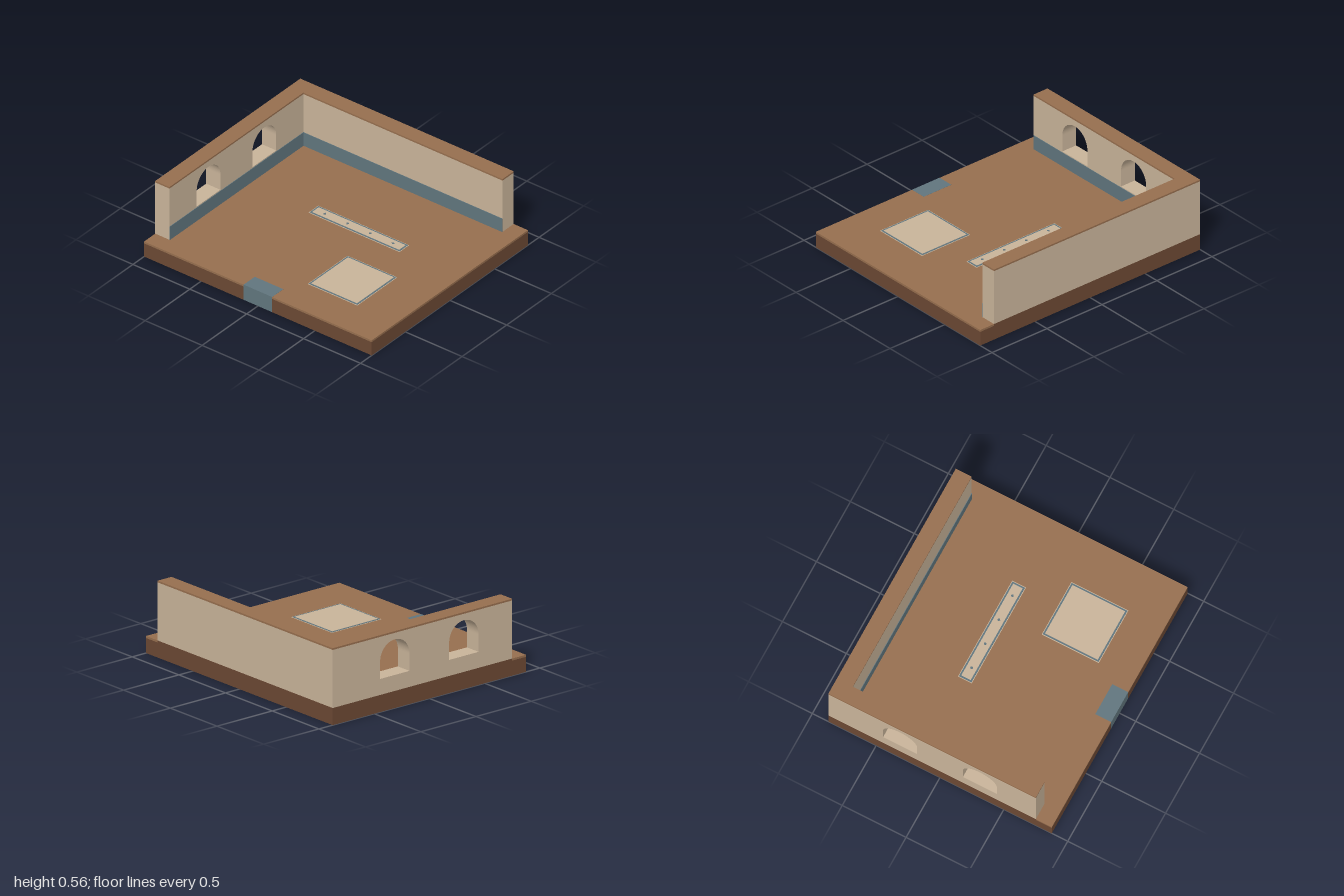
import * as THREE from 'three';

const mat = (name, color) => Object.assign(new THREE.MeshStandardMaterial({ color }), { name });

export function createModel() {
  const plaster = mat('tan plaster', 0xc8b399);
  const wood = mat('brown wood', 0x966e4e);
  const darkWood = mat('dark wood', 0x6b4833);
  const slate = mat('slate blue', 0x60757d);

  const model = new THREE.Group();
  model.name = 'openRoom';

  const add = (name, geometry, material, parent = model) => {
    const mesh = new THREE.Mesh(geometry, material);
    mesh.name = name;
    parent.add(mesh);
    return mesh;
  };
  // Box given by its extents on each axis
  const box = (name, material, [x0, x1], [y0, y1], [z0, z1], parent) => {
    const mesh = add(name, new THREE.BoxGeometry(x1 - x0, y1 - y0, z1 - z0), material, parent);
    mesh.position.set((x0 + x1) / 2, (y0 + y1) / 2, (z0 + z1) / 2);
    return mesh;
  };

  const FLOOR = 0.125, LIP = 0.11, WALL = 0.55, TOP = 0.5625;
  const X = 1, Z = 0.875, XI = 0.875, ZI = 0.75, DOOR = 0.125;

  // Base: dark rim around a wooden floor, with a slate doorstep in the front
  box('floor', wood, [-XI, XI], [0, FLOOR], [-ZI, ZI]);
  box('backRim', darkWood, [-X, XI], [0, FLOOR], [-Z, -ZI]);
  box('backRimEnd', darkWood, [XI, X], [0, LIP], [-Z, -ZI]);
  box('backRimEndLip', wood, [XI, X], [LIP, FLOOR], [-Z, -ZI]);
  box('rightRim', darkWood, [-X, -XI], [0, FLOOR], [-ZI, ZI]);
  box('leftRim', darkWood, [XI, X], [0, LIP], [-ZI, ZI]);
  box('leftRimLip', wood, [XI, X], [LIP, FLOOR], [-ZI, ZI]);
  for (const span of [[-X, -DOOR], [DOOR, X]]) {
    box('frontRim', darkWood, span, [0, LIP], [ZI, Z]);
    box('frontRimLip', wood, span, [LIP, FLOOR], [ZI, Z]);
  }
  box('doorstep', slate, [-DOOR, DOOR], [0, FLOOR + 0.001], [ZI, Z]);

  // Back wall and its cap
  box('backWall', plaster, [-XI, XI], [FLOOR, WALL], [-Z, -ZI]);
  box('backWallCap', wood, [-XI, XI], [WALL, TOP], [-Z, -ZI]);

  // Side wall with two arched windows, drawn along -z and extruded along x
  const side = new THREE.Shape();
  side.moveTo(-ZI, FLOOR).lineTo(Z, FLOOR).lineTo(Z, WALL).lineTo(-ZI, WALL).closePath();
  const r = 0.133, sill = 0.242, spring = 0.37;
  for (const c of [-0.3125, 0.3125]) {
    const hole = new THREE.Path();
    hole.moveTo(c - r, sill).lineTo(c + r, sill).lineTo(c + r, spring);
    hole.absarc(c, spring, r, 0, Math.PI, false);
    hole.closePath();
    side.holes.push(hole);
  }
  const sideGeometry = new THREE.ExtrudeGeometry(side, { depth: X - XI, bevelEnabled: false, curveSegments: 24 });
  sideGeometry.rotateY(Math.PI / 2).translate(-X, 0, 0);
  add('windowWall', sideGeometry, plaster);
  box('windowWallCap', wood, [-X, -XI], [WALL, TOP], [-Z, ZI]);

  // Skirting along the inside of both walls
  box('backSkirting', slate, [-XI, XI], [FLOOR, 0.235], [-ZI, -ZI + 0.004]);
  box('sideSkirting', slate, [-XI, -XI + 0.004], [FLOOR, 0.235], [-ZI, ZI]);

  // Floor panels: thin layered plates forming a pale edge, slate band and pale field
  const panel = (name, [x0, x1], [z0, z1]) => {
    const group = new THREE.Group();
    group.name = name;
    model.add(group);
    const layers = [['edge', plaster, 0], ['band', slate, 0.005], ['field', plaster, 0.017]];
    layers.forEach(([part, material, inset], i) => box(part, material,
      [x0 + inset, x1 - inset], [FLOOR, FLOOR + 0.002 + i * 0.0015], [z0 + inset, z1 - inset], group));
    return group;
  };
  panel('squarePanel', [0.218, 0.655], [0.148, 0.595]);
  const strip = panel('stripPanel', [-0.327, 0.472], [-0.218, -0.11]);

  // Small diamonds along the strip
  for (let i = 0; i < 4; i++) {
    const diamond = add('diamond', new THREE.CylinderGeometry(0.012, 0.012, 0.002, 4), slate, strip);
    diamond.position.set(-0.227 + i * 0.2, FLOOR + 0.0055, -0.164);
  }
  return model;
}
